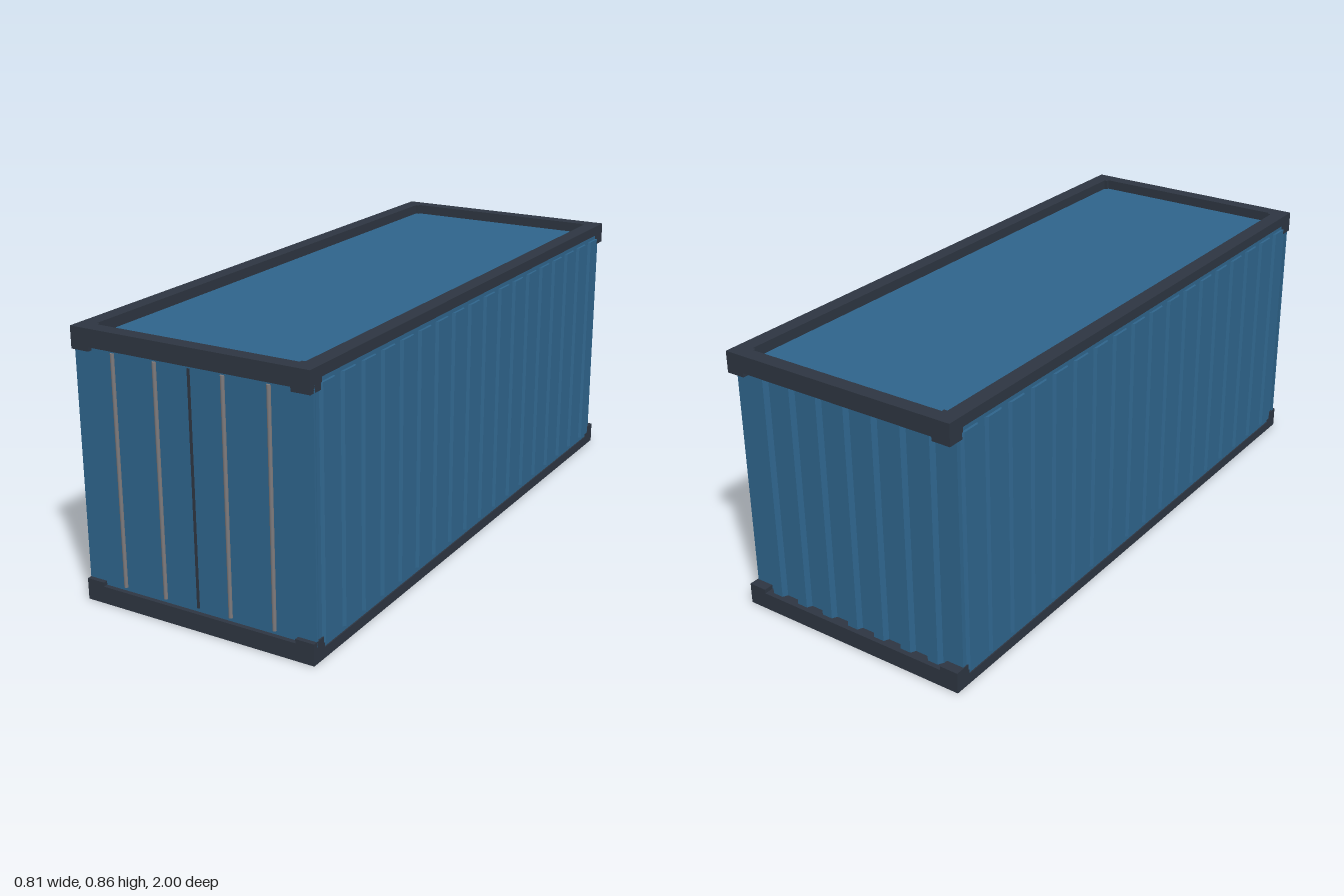
import * as THREE from 'three';

export function createModel() {
  const model = new THREE.Group();
  model.name = 'cargoContainer';
  const material = (name, color) => {
    const m = new THREE.MeshStandardMaterial({ color });
    m.name = name;
    return m;
  };
  const blue = material('panelBlue', 0x2e648b);
  const dark = material('frameDark', 0x2d3541);
  const steel = material('barGrey', 0x7d7a7c);

  // Box given by its minimum and maximum corners
  function box(name, mat, [x0, y0, z0], [x1, y1, z1], parent = model) {
    const mesh = new THREE.Mesh(new THREE.BoxGeometry(x1 - x0, y1 - y0, z1 - z0), mat);
    mesh.position.set((x0 + x1) / 2, (y0 + y1) / 2, (z0 + z1) / 2);
    mesh.name = name;
    parent.add(mesh);
    return mesh;
  }

  // Upright corrugated sheet along x, with its ribs facing +z from z = 0
  function corrugated(name, length, count, ribWidth, depth, slope, y0, y1) {
    const shape = new THREE.Shape();
    const pitch = length / count;
    shape.moveTo(-length / 2, 0.012);
    shape.lineTo(-length / 2, 0);
    for (let i = 0; i < count; i++) {
      const c = -length / 2 + pitch * (i + 0.5);
      const w = ribWidth / 2;
      shape.lineTo(c - w, 0);
      shape.lineTo(c - w + slope, -depth);
      shape.lineTo(c + w - slope, -depth);
      shape.lineTo(c + w, 0);
    }
    shape.lineTo(length / 2, 0);
    shape.lineTo(length / 2, 0.012);
    const geo = new THREE.ExtrudeGeometry(shape, { depth: y1 - y0, bevelEnabled: false });
    geo.rotateX(-Math.PI / 2);
    geo.translate(0, y0, 0);
    const mesh = new THREE.Mesh(geo, blue);
    mesh.name = name;
    model.add(mesh);
    return mesh;
  }

  // Bottom and top frames: side rails, end beams and corner castings
  const H = 0.855;
  const span = (top, h) => (top ? [H - h, H] : [0, h]);
  for (const top of [false, true]) {
    const frame = new THREE.Group();
    frame.name = top ? 'topFrame' : 'bottomFrame';
    model.add(frame);
    const [r0, r1] = span(top, 0.033);
    const [b0, b1] = span(top, 0.055);
    const [c0, c1] = span(top, 0.068);
    for (const s of [-1, 1]) {
      const x = [s * 0.35, s * 0.4].sort((a, b) => a - b);
      const z = [s * 0.953, s].sort((a, b) => a - b);
      box('sideRail', dark, [x[0], r0, -0.953], [x[1], r1, 0.953], frame);
      box('endBeam', dark, [-0.4, b0, z[0]], [0.4, b1, z[1]], frame);
      for (const t of [-1, 1]) {
        const cx = [t * 0.339, t * 0.4].sort((a, b) => a - b);
        const cz = [s * 0.943, s].sort((a, b) => a - b);
        box('cornerCasting', dark, [cx[0], c0, cz[0]], [cx[1], c1, cz[1]], frame);
      }
    }
  }

  // Recessed roof and floor
  box('roof', blue, [-0.36, 0.81, -0.96], [0.36, 0.822, 0.96]);
  box('floor', blue, [-0.36, 0.018, -0.96], [0.36, 0.03, 0.96]);

  // Long walls, with shallow ribs standing just proud of the rails
  for (const s of [-1, 1]) {
    const wall = corrugated(s > 0 ? 'leftWall' : 'rightWall', 1.936, 18, 0.075, 0.008, 0.008, 0.05, 0.807);
    wall.rotation.y = (s * Math.PI) / 2;
    wall.position.x = s * 0.396;
    const x = [s * 0.384, s * 0.396].sort((a, b) => a - b);
    box('wallLowerEdge', blue, [x[0], 0.03, -0.968], [x[1], 0.05, 0.968]);
    box('wallUpperEdge', blue, [x[0], 0.807, -0.968], [x[1], 0.825, 0.968]);
  }

  // Back wall with seven ribs and flat margins
  const back = corrugated('backWall', 0.7, 7, 0.052, 0.016, 0.008, 0.04, 0.815);
  back.rotation.y = Math.PI;
  back.position.z = -0.968;
  for (const s of [-1, 1]) {
    const x = [s * 0.35, s * 0.397].sort((a, b) => a - b);
    box('backWallMargin', blue, [x[0], 0.04, -0.968], [x[1], 0.815, -0.956]);
  }

  // Front doors, central seam and locking bars
  for (const s of [-1, 1]) {
    const x = [0, s * 0.4].sort((a, b) => a - b);
    box(s > 0 ? 'leftDoor' : 'rightDoor', blue, [x[0], 0.05, 0.978], [x[1], 0.807, 0.985]);
  }
  box('doorSeam', dark, [-0.004, 0.067, 0.984], [0.004, 0.79, 0.988]);
  for (const x of [-0.264, -0.117, 0.113, 0.262]) {
    const bar = new THREE.Mesh(new THREE.CylinderGeometry(0.0065, 0.0065, 0.723, 8), steel);
    bar.position.set(x, 0.4285, 0.986);
    bar.name = 'lockingBar';
    model.add(bar);
  }
  return model;
}
